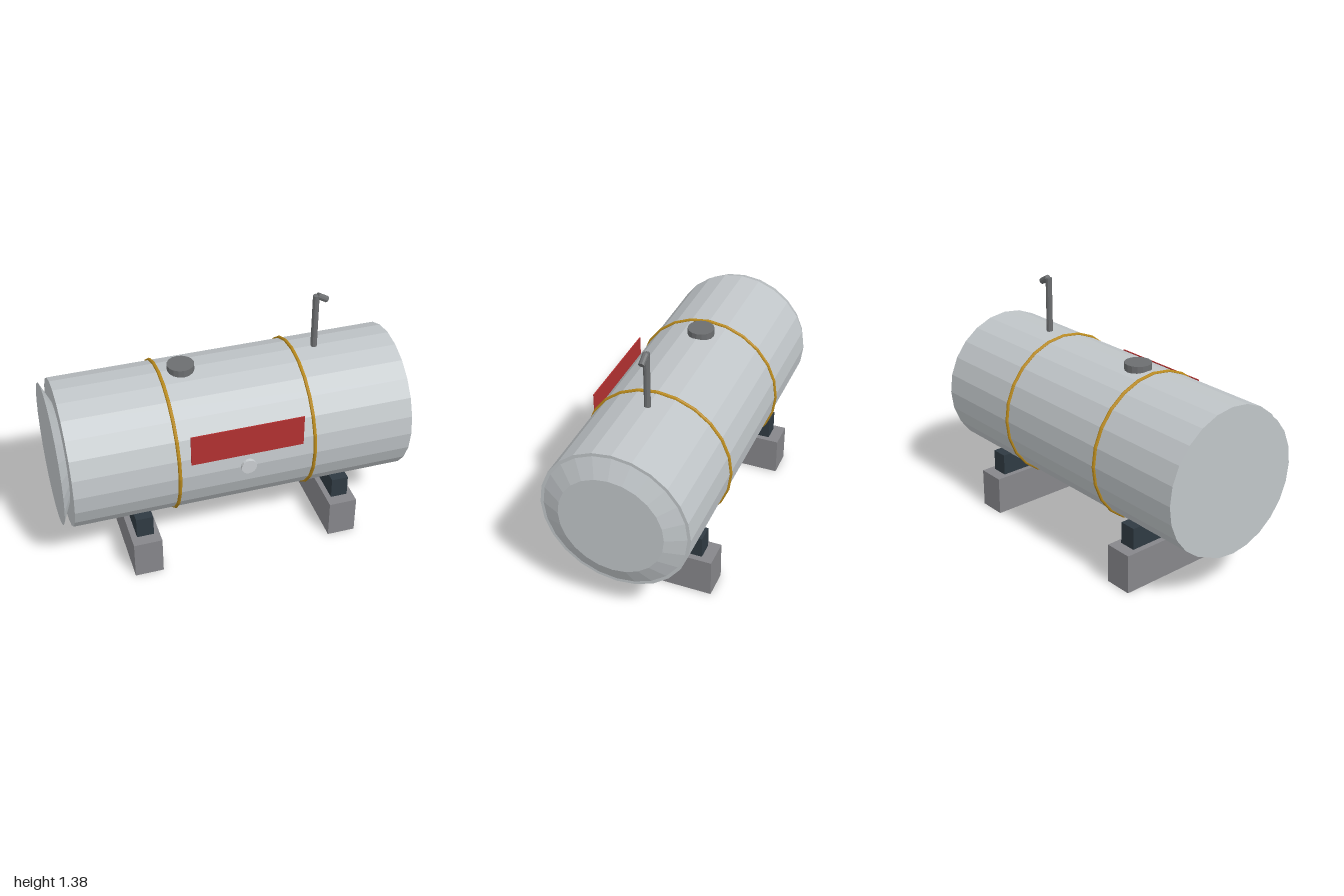
import * as THREE from 'three';

function mat(name, color) {
  const m = new THREE.MeshStandardMaterial({ color, flatShading: true });
  m.name = name;
  return m;
}

export function createModel() {
  const group = new THREE.Group();
  const steel = mat('pale steel', 0xc0c5c8);
  const darkMetal = mat('dark metal', 0x6c6e70);
  const concrete = mat('concrete grey', 0x86868a);
  const saddleBlue = mat('saddle slate', 0x2f3a42);
  const gold = mat('band gold', 0xb8891c);
  const red = mat('plate red', 0xb23030);
  const dial = mat('gauge white', 0xc9cdd0);

  const add = (name, geometry, material, x, y, z = 0) => {
    const mesh = new THREE.Mesh(geometry, material);
    mesh.name = name;
    mesh.position.set(x, y, z);
    group.add(mesh);
    return mesh;
  };
  const AXIS = 0.635; // height of the tank axis
  const R = 0.413;

  // Horizontal tank; both end discs taper toward +x
  add('tank', new THREE.CylinderGeometry(R, R, 1.9, 24), steel, 0, AXIS).rotation.z = Math.PI / 2;
  for (const s of [-1, 1]) {
    const side = s > 0 ? 'left' : 'right';
    add(side + 'EndCap', new THREE.CylinderGeometry(0.395, 0.29, 0.05, 24), steel, s * 0.975, AXIS)
      .rotation.z = Math.PI / 2;

    // Strap, saddle and concrete footing
    add(side + 'Band', new THREE.TorusGeometry(0.415, 0.01, 8, 24), gold, s * 0.379, AXIS)
      .rotation.y = Math.PI / 2;
    add(side + 'Saddle', new THREE.BoxGeometry(0.096, 0.13, 0.694), saddleBlue, s * 0.57, 0.282);
    add(side + 'Footing', new THREE.BoxGeometry(0.16, 0.223, 0.824), concrete, s * 0.571, 0.1115);
  }

  // Filler cap on top
  add('fillerCap', new THREE.CylinderGeometry(0.075, 0.075, 0.06, 16), darkMetal, -0.256, 1.049);

  // Vent pipe with a bent outlet
  add('ventPipe', new THREE.CylinderGeometry(0.018, 0.018, 0.335, 10), darkMetal, 0.506, 1.199);
  add('ventOutlet', new THREE.CylinderGeometry(0.018, 0.018, 0.064, 10), darkMetal, 0.541, 1.348)
    .rotation.z = Math.PI / 3;

  // Warning plate and gauge on the front
  add('warningPlate', new THREE.BoxGeometry(0.628, 0.183, 0.006), red, -0.001, 0.7965, 0.402);
  add('gauge', new THREE.CylinderGeometry(0.043, 0.043, 0.03, 16), dial, 0, AXIS, 0.411)
    .rotation.x = Math.PI / 2;

  return group;
}
